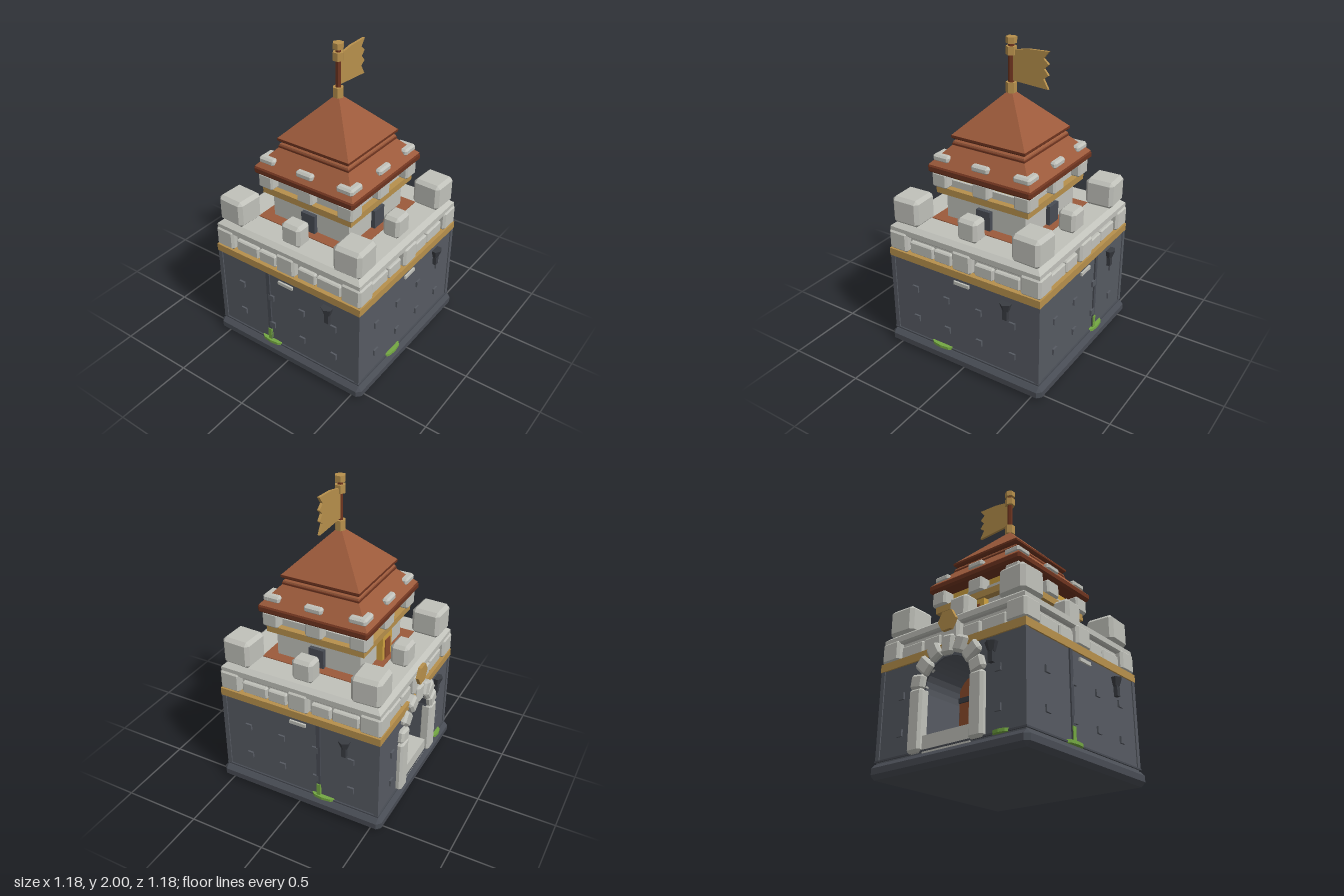
import * as THREE from 'three';
import { ConvexGeometry } from 'three/addons/geometries/ConvexGeometry.js';

const mat = (name, color) => {
  const m = new THREE.MeshStandardMaterial({ color });
  m.name = name;
  return m;
};

// Faceted copy of a geometry
function flat(geo) {
  const g = geo.index ? geo.toNonIndexed() : geo;
  g.computeVertexNormals();
  return g;
}

// Box with chamfered edges
function chamferBox(w, h, d, b = 0.015) {
  const pts = [];
  for (const x of [-1, 1]) for (const y of [-1, 1]) for (const z of [-1, 1]) {
    const X = x * w / 2, Y = y * h / 2, Z = z * d / 2;
    pts.push(
      new THREE.Vector3(X, Y - y * b, Z - z * b),
      new THREE.Vector3(X - x * b, Y, Z - z * b),
      new THREE.Vector3(X - x * b, Y - y * b, Z));
  }
  return new ConvexGeometry(pts);
}

// Square solid from a profile of [half width, height]
function square(profile) {
  const pts = profile.map(([r, y]) => new THREE.Vector2(r * Math.SQRT2, y));
  return flat(new THREE.LatheGeometry(pts, 4, Math.PI / 4));
}
const slab = (half, y0, y1) => new THREE.BoxGeometry(half * 2, y1 - y0, half * 2).translate(0, (y0 + y1) / 2, 0);
const shapeOf = pts => new THREE.Shape(pts.map(p => new THREE.Vector2(...p)));

// Round-topped outline of a gateway
function archOutline(path, r, bottom, spring) {
  path.moveTo(-r, bottom);
  path.lineTo(-r, spring);
  path.absarc(0, spring, r, Math.PI, 0, true);
  path.lineTo(r, bottom);
  path.closePath();
  return path;
}

export function createModel() {
  const slate = mat('slate', 0x565a62), darkSlate = mat('dark slate', 0x484c54);
  const iron = mat('iron', 0x3a3d43), stone = mat('stone', 0xc0c1ba);
  const gold = mat('gold', 0xb7904c), brightGold = mat('bright gold', 0xcfa240);
  const roofRed = mat('roof red', 0x9c5a3b), darkRed = mat('dark red', 0x6e341f);
  const wood = mat('wood', 0x8c4b2c), moss = mat('moss', 0x74a842);

  const model = new THREE.Group();
  model.name = 'castleTower';
  const add = (parent, name, geo, material, x = 0, y = 0, z = 0) => {
    const m = new THREE.Mesh(geo, material);
    m.name = name;
    m.position.set(x, y, z);
    parent.add(m);
    return m;
  };
  const box = (parent, name, material, w, h, d, x, y, z) =>
    add(parent, name, new THREE.BoxGeometry(w, h, d), material, x, y, z);
  const block = (parent, name, w, h, d, x, y, z, b) =>
    add(parent, name, chamferBox(w, h, d, b), stone, x, y, z);

  // Plinth
  add(model, 'plinth', chamferBox(1.144, 0.09, 1.144, 0.026), darkSlate, 0, 0.045, 0);
  add(model, 'plinthTrim', slab(0.55, 0.1, 0.11), darkSlate);

  // Main body: solid block plus a back wall with an arched opening
  const inner = 0.18, spring = 0.44, backZ = -0.54, recessZ = -0.25, depth = recessZ - backZ;
  box(model, 'body', slate, 1.08, 0.57, 0.54 - recessZ, 0, 0.365, (0.54 + recessZ) / 2);
  const wall = shapeOf([[-0.54, 0.08], [0.54, 0.08], [0.54, 0.65], [-0.54, 0.65]]);
  wall.holes.push(archOutline(new THREE.Path(), inner, 0.1, spring));
  const extrude = { depth, bevelEnabled: false, curveSegments: 8 };
  add(model, 'backWall', new THREE.ExtrudeGeometry(wall, extrude), slate, 0, 0, backZ);
  add(model, 'goldBand', slab(0.55, 0.65, 0.7), gold);

  // Gate: lining, door, straps, sill and stone arch
  const gate = new THREE.Group();
  gate.name = 'gate';
  model.add(gate);
  const lining = archOutline(new THREE.Shape(), inner + 0.005, 0.1, spring);
  lining.holes.push(archOutline(new THREE.Path(), inner - 0.004, 0.105, spring));
  add(gate, 'gateLining', new THREE.ExtrudeGeometry(lining, extrude), iron, 0, 0, backZ);
  box(gate, 'gateDoor', wood, 0.32, 0.4, 0.02, 0, 0.39, recessZ - 0.01);
  for (const y of [0.26, 0.46]) box(gate, 'doorStrap', iron, 0.32, 0.03, 0.012, 0, y, recessZ - 0.025);
  box(gate, 'gateSill', stone, inner * 2 - 0.01, 0.1, depth + 0.005, 0, 0.14, backZ + depth / 2 - 0.005);
  for (const s of [-1, 1]) block(gate, 'gateJamb', 0.1, 0.37, 0.075, s * 0.225, 0.285, -0.538);
  for (let i = 0; i < 7; i++) {
    const a = (i + 0.5) / 7 * Math.PI;
    const v = block(gate, 'archStone', i % 2 ? 0.12 : 0.1, 0.09, i % 2 ? 0.065 : 0.075,
      Math.cos(a) * 0.226, spring + 0.02 + Math.sin(a) * 0.226, -0.538);
    v.rotation.z = a + (i % 2 ? 0.08 : -0.06);
  }
  const medal = new THREE.CylinderGeometry(0.068, 0.068, 0.022, 6).rotateX(Math.PI / 2).rotateZ(Math.PI / 2);
  add(gate, 'gateMedallion', flat(medal), gold, 0, 0.83, -0.562);

  // Parapet and terrace
  add(model, 'parapetCore', slab(0.505, 0.7, 0.815), stone);
  add(model, 'parapetLedge', square([[0, 0.81], [0.53, 0.81], [0.54, 0.82], [0.54, 0.855], [0.51, 0.88], [0, 0.88]]), stone);
  add(model, 'terraceTiles', slab(0.355, 0.87, 0.885), roofRed);

  // Details repeated on the four sides: front, right, back, left
  const mossX = [-0.165, 0.17, 0.38, -0.13], stripX = [null, 0.14, null, -0.14];
  for (let k = 0; k < 4; k++) {
    const side = new THREE.Group();
    side.name = ['frontSide', 'rightSide', 'backSide', 'leftSide'][k];
    side.rotation.y = k * Math.PI / 2;
    model.add(side);
    const back = k === 2;

    // Studs, corner edging, plaque, moss and drain strip
    for (const x of [-0.36, -0.12, 0.12, 0.36]) {
      if (back && Math.abs(x) < 0.3) continue;
      for (const y of [0.24, 0.46]) box(side, 'wallStud', slate, 0.042, 0.042, 0.02, x, y, 0.542);
    }
    box(side, 'cornerEdging', slate, 0.03, 0.54, 0.03, 0.532, 0.38, 0.532);
    if (!back) box(side, 'plaque', stone, 0.11, 0.022, 0.02, 0, 0.616, 0.542);
    const patch = new THREE.CylinderGeometry(1, 1, 0.018, 8).scale(back ? 0.055 : 0.078, 1, 0.024);
    add(side, 'mossPatch', flat(patch), moss, mossX[k], 0.108, 0.545);
    if (stripX[k] !== null) {
      box(side, 'drainStrip', darkSlate, 0.026, 0.54, 0.016, stripX[k], 0.38, 0.542);
      box(side, 'mossStreak', moss, 0.026, 0.1, 0.024, stripX[k], 0.15, 0.544);
    }

    // Wall sconce
    add(side, 'sconceCup', flat(new THREE.CylinderGeometry(0.042, 0.022, 0.055, 6)), iron, 0.32, 0.583, 0.548);
    box(side, 'sconceStem', iron, 0.03, 0.07, 0.03, 0.32, 0.53, 0.55);

    // Parapet blocks and panels
    block(side, 'parapetCornerBlock', 0.14, 0.135, 0.14, 0.48, 0.767, 0.48);
    block(side, 'parapetMiddleBlock', 0.14, 0.135, 0.06, 0, 0.767, 0.52);
    for (const s of [-1, 1]) {
      block(side, 'parapetPanel', 0.13, 0.08, 0.045, s * 0.15, 0.742, 0.51, 0.008);
      block(side, 'parapetPanel', 0.175, 0.08, 0.045, s * 0.312, 0.742, 0.508, 0.008);
    }

    // Merlons
    block(side, 'cornerMerlon', 0.19, 0.18, 0.19, 0.432, 0.968, 0.435, 0.022).rotation.y = 0.04 * (k % 2 ? 1 : -1);
    block(side, 'middleMerlon', 0.14, 0.145, 0.115, 0, 0.95, 0.432, 0.02);

    // Tower doors
    if (back) {
      box(side, 'towerDoorFrame', brightGold, 0.13, 0.17, 0.045, 0, 0.965, 0.303);
      box(side, 'towerDoor', wood, 0.07, 0.135, 0.008, 0, 0.95, 0.327);
    } else {
      box(side, 'towerDoor', darkSlate, 0.1, 0.13, 0.03, 0, 0.945, 0.297);
    }

    // Gallery posts under the eave and stones on the lower roof
    block(side, 'galleryCornerPost', 0.11, 0.1, 0.11, 0.295, 1.15, 0.295, 0.012);
    block(side, 'galleryMiddlePost', 0.115, 0.1, 0.1, 0, 1.15, 0.295, 0.012);
    block(side, 'roofStone', 0.12, 0.045, 0.045, 0, 1.29, 0.325, 0.012);
    block(side, 'roofCornerStone', 0.115, 0.045, 0.05, 0.285, 1.29, 0.317, 0.012);
    block(side, 'roofCornerStone', 0.05, 0.045, 0.115, 0.317, 1.29, 0.285, 0.012);
  }

  // Upper tower
  add(model, 'towerWall', slab(0.285, 0.88, 1.06), stone);
  add(model, 'towerBand', slab(0.33, 1.057, 1.1), gold);
  add(model, 'galleryLedge', slab(0.29, 1.1, 1.145), stone);
  add(model, 'galleryWall', slab(0.27, 1.145, 1.2), brightGold);

  // Two-tier roof
  add(model, 'eave', chamferBox(0.736, 0.055, 0.736, 0.014), darkRed, 0, 1.224, 0);
  add(model, 'lowerRoof', square([[0.36, 1.247], [0.255, 1.36], [0.25, 1.385], [0.22, 1.41], [0, 1.41]]), roofRed);
  add(model, 'lowerRoofLip', square([[0.24, 1.355], [0.256, 1.362], [0.256, 1.372], [0.24, 1.385]]), darkRed);
  add(model, 'upperEave', square([[0, 1.4], [0.25, 1.4], [0.26, 1.41], [0.26, 1.424], [0, 1.424]]), darkRed);
  add(model, 'upperRoof', square([[0.258, 1.424], [0, 1.69]]), roofRed);

  // Flagpole
  const rod = (name, r, y0, y1, material) =>
    add(model, name, flat(new THREE.CylinderGeometry(r, r, y1 - y0, 6)), material, 0, (y0 + y1) / 2, 0);
  rod('poleSocket', 0.034, 1.668, 1.73, gold);
  rod('pole', 0.018, 1.72, 1.97, darkRed);
  rod('poleCollar', 0.034, 1.895, 1.945, gold);
  rod('poleFinial', 0.034, 1.963, 2, gold);

  // Ragged flag
  const flag = shapeOf([
    [0.015, 1.742], [0.255, 1.727], [0.222, 1.785], [0.255, 1.81], [0.225, 1.845],
    [0.255, 1.875], [0.22, 1.905], [0.255, 1.95], [0.12, 1.945], [0.015, 1.925],
  ]);
  add(model, 'flag', new THREE.ExtrudeGeometry(flag, { depth: 0.016, bevelEnabled: false }), gold, 0, 0, -0.008);

  return model;
}
